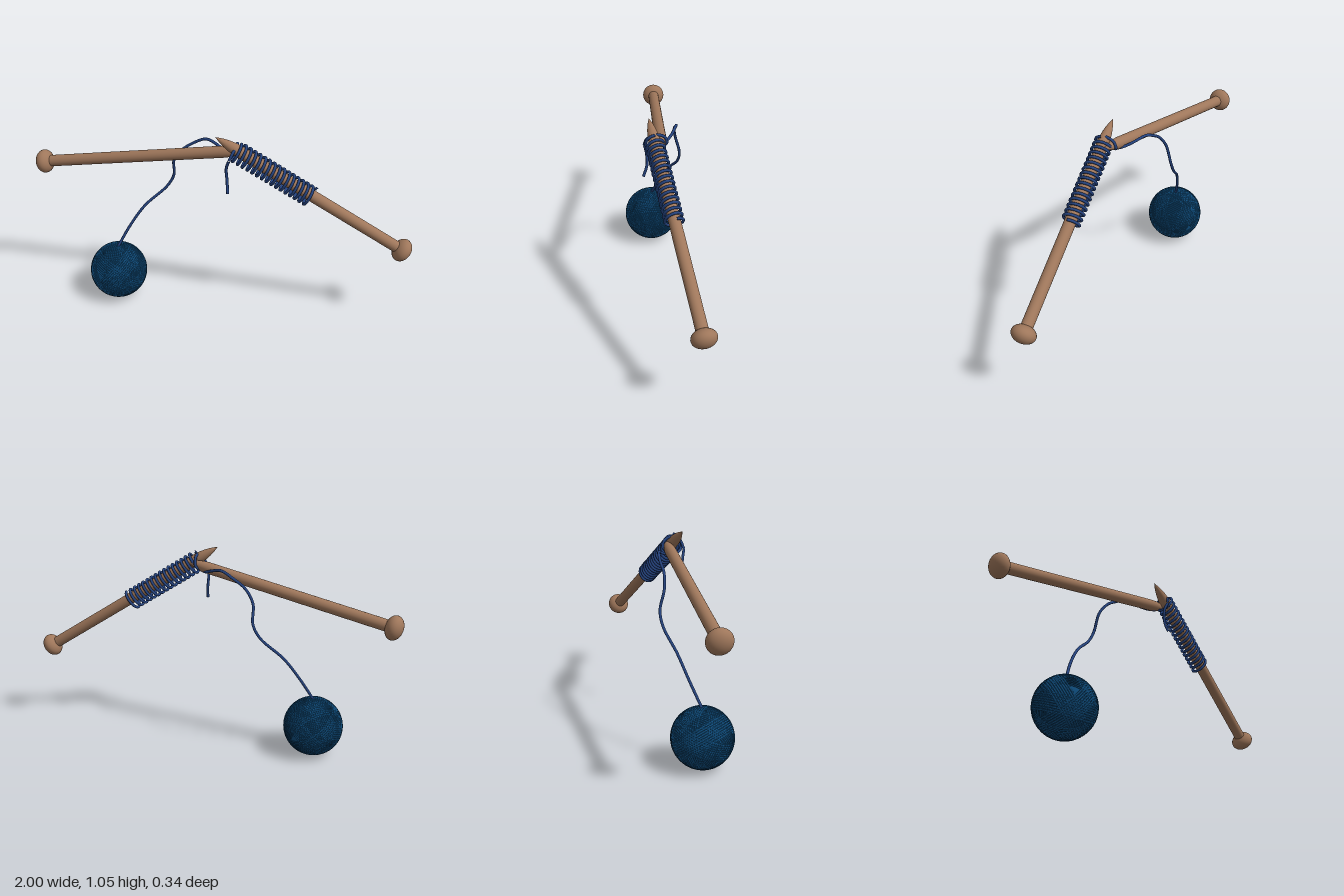
import * as THREE from 'three';
import { mergeGeometries } from 'three/addons/utils/BufferGeometryUtils.js';

const V = (x, y, z) => new THREE.Vector3(x, y, z);
const UP = V(0, 1, 0);

export function createModel() {
  const wood = new THREE.MeshStandardMaterial({ color: 0x9f775b });
  wood.name = 'wood';
  const strandBlue = new THREE.MeshStandardMaterial({ color: 0x25437f });
  strandBlue.name = 'strand blue';
  const ballBlue = new THREE.MeshStandardMaterial({ color: 0x0e4c7c });
  ballBlue.name = 'ball blue';

  const model = new THREE.Group();
  model.name = 'knitting';
  const add = (name, geometry, material, parent = model) => {
    const mesh = new THREE.Mesh(geometry, material);
    mesh.name = name;
    parent.add(mesh);
    return mesh;
  };

  // Needle: flattened round knob, straight shaft and long curved point
  function needle(name, knob, tip) {
    const group = new THREE.Group();
    group.name = name;
    const dir = tip.clone().sub(knob);
    const length = dir.length();
    const r = 0.03, point = 0.15;
    const profile = [new THREE.Vector2(r, 0)];
    for (let i = 0; i <= 10; i++) {
      const t = i / 10;
      profile.push(new THREE.Vector2(r * (1 - t ** 2.2), length - point + point * t));
    }
    add('shaft', new THREE.LatheGeometry(profile, 28), wood, group);
    const ball = new THREE.SphereGeometry(0.062, 32, 20);
    ball.scale(1, 0.72, 1);
    add('knob', ball, wood, group);
    group.position.copy(knob);
    group.quaternion.setFromUnitVectors(UP, dir.normalize());
    model.add(group);
  }
  const knobB = V(0.945, 0.435, 0.088), tipB = V(-0.02, 1.055, 0.118);
  needle('rightNeedle', V(-0.955, 0.765, -0.108), V(0.145, 0.977, 0.09));
  needle('leftNeedle', knobB, tipB);

  // Cast-on stitches: one strand coiled around the left needle
  const axis = knobB.clone().sub(tipB).normalize();
  const side = V(0, 0, 1).addScaledVector(axis, -axis.z).normalize();
  const across = new THREE.Vector3().crossVectors(side, axis).normalize();
  const turns = 16, coil = [];
  for (let i = 0; i <= turns * 12; i++) {
    const a = (i / 12) * Math.PI * 2;
    const along = 0.125 + 0.455 * i / (turns * 12);
    coil.push(tipB.clone()
      .addScaledVector(axis, along)
      .addScaledVector(across, Math.cos(a) * 0.052 - 0.009)
      .addScaledVector(side, Math.sin(a) * 0.043));
  }
  const strand = (points, segments) =>
    new THREE.TubeGeometry(new THREE.CatmullRomCurve3(points), segments, 0.0075, 8);
  add('stitches', strand(coil, turns * 28), strandBlue);

  // Loose yarn from the ball, up over the needles into the first loop
  add('looseYarn', strand([
    V(-0.575, 0.3, -0.005), V(-0.5, 0.43, -0.045), V(-0.42, 0.54, -0.072),
    V(-0.3, 0.65, -0.1), V(-0.262, 0.72, -0.1), V(-0.255, 0.82, -0.075),
    V(-0.21, 0.89, -0.058), V(-0.14, 0.94, -0.052), V(-0.08, 0.968, -0.035),
    V(-0.02, 0.955, 0), V(0.02, 0.937, 0.04), V(0.05, 0.935, 0.07),
    V(0.08, 0.96, 0.05), V(0.085, 0.995, 0.06), V(0.085, 1.012, 0.1),
    V(0.07, 0.99, 0.145), V(0.05, 0.95, 0.158)
  ], 160), strandBlue);

  // Hanging yarn end
  add('yarnTail', strand([
    V(0.05, 0.95, 0.158), V(0.036, 0.9, 0.145),
    V(0.04, 0.83, 0.143), V(0.045, 0.768, 0.163)
  ], 30), strandBlue);

  // Yarn ball: solid core wrapped in crossing bands of rings
  const ball = new THREE.Group();
  ball.name = 'yarnBall';
  ball.position.set(-0.575, 0.157, -0.004);
  model.add(ball);
  add('core', new THREE.SphereGeometry(0.151, 48, 32), ballBlue, ball);
  const R = 0.1515, bands = 7, rings = 9, windings = [];
  for (let b = 0; b < bands; b++) {
    // Band axes spread evenly over a half sphere
    const h = (b + 0.5) / bands, turn = b * 2.4;
    const w = Math.sqrt(1 - h * h);
    const q = new THREE.Quaternion().setFromUnitVectors(
      V(0, 0, 1), V(w * Math.cos(turn), h, w * Math.sin(turn)));
    for (let i = 0; i < rings; i++) {
      const offset = (i - (rings - 1) / 2) * 0.0105;
      const ring = new THREE.TorusGeometry(Math.sqrt(R * R - offset * offset), 0.0045, 6, 56);
      ring.translate(0, 0, offset);
      ring.applyQuaternion(q);
      windings.push(ring);
    }
  }
  add('windings', mergeGeometries(windings), ballBlue, ball);

  return model;
}
